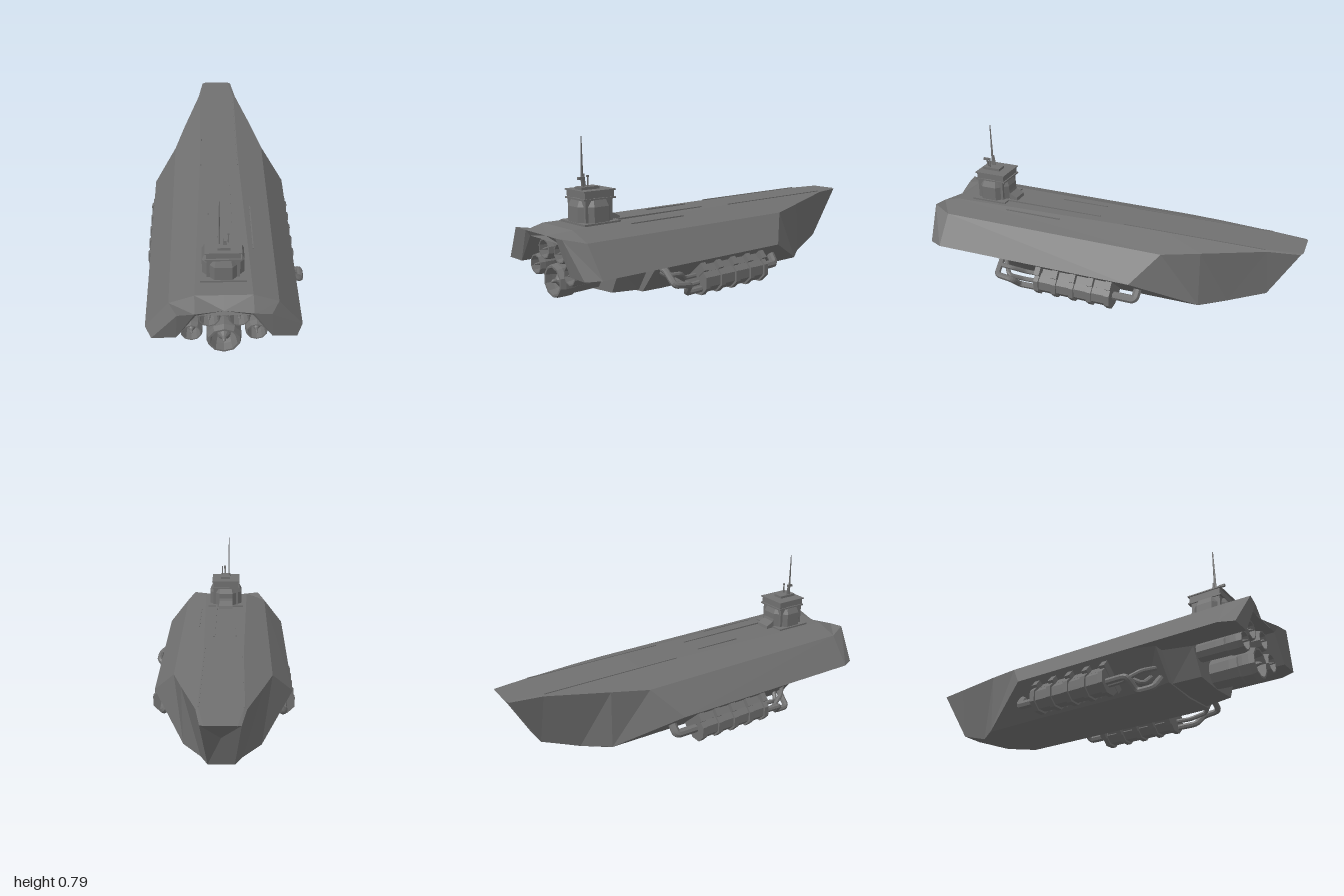
import * as THREE from 'three';

const CX = -0.016; // hull centreline

export function createModel() {
  const root = new THREE.Group();
  root.name = 'ship';
  const grey = new THREE.MeshStandardMaterial({ color: 0x707070, flatShading: true });
  grey.name = 'hull grey';

  const add = (name, geo, x = 0, y = 0, z = 0, rz = 0) => {
    const m = new THREE.Mesh(geo, grey);
    m.name = name;
    m.position.set(x, y, z);
    m.rotation.z = rz;
    root.add(m);
    return m;
  };
  const box = (name, w, h, d, x, y, z, rz) => add(name, new THREE.BoxGeometry(w, h, d), x, y, z, rz);

  // Symmetric skin: polygons of the left half, mirrored to the right
  const skin = (name, polygons) => {
    const pos = [];
    for (const p of polygons) {
      for (let i = 1; i < p.length - 1; i++) {
        pos.push(...p[0], ...p[i], ...p[i + 1]);
        for (const [x, y, z] of [p[0], p[i + 1], p[i]]) pos.push(-x, y, z);
      }
    }
    const g = new THREE.BufferGeometry();
    g.setAttribute('position', new THREE.Float32BufferAttribute(pos, 3));
    g.computeVertexNormals();
    add(name, g, CX);
  };
  // Strips between half sections listed from stern to bow
  const loft = rings => rings.slice(1).flatMap((b, i) => {
    const a = rings[i];
    return b.slice(1).map((c, j) => [a[j], a[j + 1], c, b[j]]);
  });

  // Upper hull: deck edge, shoulder and chine of each section
  const upper = [
    [[.13, .368, .99], [.205, .373, 1], [.325, .205, .97]],
    [[.13, .392, .9], [.245, .35, .9], [.357, .205, .9]],
    [[.1, .4, -.3], [.245, .345, -.33], [.357, .205, -.2]],
    [[.1, .4, -.52], [.197, .365, -.52], [.19, .06, -.52]],
    [[.1, .4, -.82], [.112, .395, -.83], [.1, .065, -.65]],
    [[.07, .4, -1], [.088, .397, -.99], [.06, .13, -.84]],
  ].map(([edge, ...rest]) => [[0, edge[1], edge[2]], edge, ...rest]);
  upper[0][0] = [0, .357, .96]; // stern notch
  skin('upperHull', loft(upper));

  // Lower hull: z, chine x and y, bilge x and y, keel y
  const lower = [
    [.71, .215, .205, .15, .075, .065],
    [.57, .255, .205, .17, .068, .06],
    [.57, .31, .205, .2, .065, .05],
    [.45, .357, .205, .19, .058, .02],
    [-.2, .357, .205, .19, .058, .02],
    [-.52, .19, .06, .185, .056, .02],
    [-.65, .1, .065, .098, .063, .052],
    [-.84, .06, .13, .058, .13, .13],
  ].map(([z, cx, cy, bx, by, ky]) => [[cx, cy, z], [bx, by, z], [0, ky, z]]);
  skin('lowerHull', loft(lower));

  // Stern overhang with the engine recess, its bulkhead and the stern lip
  const under = [[.97, .325], [.9, .357], [.45, .357]].map(([z, x]) =>
    [[x, .205, z], [.215, .205, z], [.125, .34, z], [0, .34, z]]);
  skin('sternOverhang', loft(under));
  skin('engineBulkhead', [[[0, .34, .71], [0, .065, .71], [.15, .075, .71], [.215, .205, .71], [.125, .34, .71]]]);
  const [centre, edge, shoulder, chine] = upper[0];
  const [, inner, corner, roof] = under[0];
  skin('sternLip', [[centre, roof, corner, edge], [edge, corner, inner, shoulder], [shoulder, inner, chine]]);

  // Hollowed bow face
  const bow = [...upper[upper.length - 1], [0, .13, -.84]];
  skin('bowFace', bow.slice(1).map((p, j) => [bow[j], p, [0, .29, -.895]]));

  // Raised deck strips
  for (const side of [-1, 1]) box('deckEdgeStrip', .006, .006, .74, CX + side * .1, .4, -.45);
  box('deckRailLong', .01, .008, .74, .04, .398, .44);
  box('deckRailRight', .006, .008, .26, -.08, .398, .21);
  box('deckRailLeft', .006, .008, .32, .13, .385, .43);

  // Engines: ten-sided nozzles with a bowl and a centre spike
  const nozzle = [[0, -.03], [.85, -.03], [.9, .1], [.9, .14], [.98, .15], [1, .17], [1, .2], [.9, .225],
    [.78, .225], [.7, .19], [.55, .15], [.42, .15], [.36, .19], [.14, .205], [.1, .222], [0, .235]];
  const engine = (x, y, r) => {
    const g = new THREE.LatheGeometry(nozzle.map(([k, h]) => new THREE.Vector2(k * r, h)), 10);
    add('engine', g.rotateX(Math.PI / 2), CX + x, y, .71);
  };
  engine(0, .14, .083);
  for (const side of [-1, 1]) {
    engine(side * .067, .282, .053);
    engine(side * .147, .195, .053);
  }

  // Control tower
  const octagon = (rTop, rBottom, h) => {
    const k = 1 / Math.cos(Math.PI / 8);
    return new THREE.CylinderGeometry(rTop * k, rBottom * k, h, 8).rotateY(Math.PI / 8);
  };
  const tz = .72;
  box('towerPlinth', .21, .014, .2, CX, .395, tz);
  add('towerBody', octagon(.096, .096, .08), CX, .435, tz);
  add('towerShoulder', octagon(.078, .096, .04), CX, .495, tz);
  box('towerCore', .15, .12, .15, CX, .45, tz);
  box('towerBand', .164, .008, .176, CX, .509, .717);
  box('bridge', .154, .034, .162, CX, .528, .717);
  box('bridgeRoof', .166, .006, .176, CX, .547, .717);
  box('roofBlock', .056, .014, .1, CX + .003, .556, .735);
  const wedge = new THREE.Shape([[-.66, .39], [-.575, .39], [-.58, .41], [-.62, .43], [-.64, .5], [-.66, .5]]
    .map(p => new THREE.Vector2(...p)));
  const fairing = new THREE.ExtrudeGeometry(wedge, { depth: .08, bevelEnabled: false });
  add('towerFairing', fairing.rotateY(Math.PI / 2), CX - .04);

  // Masts
  add('tallMast', new THREE.CylinderGeometry(.0015, .004, .24, 8), -.033, .675, .75).scale.z = 2;
  add('mastFoot', new THREE.CylinderGeometry(.003, .012, .07, 6), -.033, .585, .74).scale.x = .35;
  box('shortMast', .005, .06, .006, .007, .585, .745);
  box('shortMastCap', .008, .008, .01, .007, .613, .745);
  for (const dx of [-.004, .004]) box('sensorArm', .005, .05, .006, -.008 + dx, .582, .765).rotation.x = .25;
  box('sensorHead', .012, .012, .03, -.008, .603, .775);

  // Pipes with rounded corners
  const pipe = (name, r, pts) => {
    const path = new THREE.CurvePath();
    const v = pts.map(p => new THREE.Vector3(...p));
    const toward = (p, q) => p.clone().add(q.clone().sub(p).setLength(.022));
    let from = v[0];
    for (let i = 1; i < v.length - 1; i++) {
      const a = toward(v[i], v[i - 1]), b = toward(v[i], v[i + 1]);
      path.add(new THREE.LineCurve3(from, a));
      path.add(new THREE.QuadraticBezierCurve3(a, v[i], b));
      from = b;
    }
    path.add(new THREE.LineCurve3(from, v[v.length - 1]));
    add(name, new THREE.TubeGeometry(path, 48, r, 8));
  };

  // Side tanks with bands, brackets and a forward elbow
  for (const side of [-1, 1]) {
    const x = CX + side * .312, y = .094;
    add('sideTank', octagon(.056, .056, .42).rotateX(Math.PI / 2), x, y, .11);
    for (let i = 0; i < 5; i++) {
      const z = -.09 + i * .1;
      add('tankBand', octagon(.066, .066, .026).rotateX(Math.PI / 2), x, y, z);
      box('tankBracket', .16, .05, .03, CX + side * .289, .122, z, side * .704);
    }
    box('tankMount', .11, .05, .36, CX + side * .285, .126, .11, side * .704);
    pipe('tankElbow', .022, [[x, y, -.08], [x, y, -.22], [CX + side * .265, .155, -.225]]);
  }

  // Rear plumbing differs from side to side
  pipe('leftOuterPipe', .016, [[.32, .06, .3], [.325, .06, .42], [.378, .115, .44], [.375, .125, .53], [.295, .195, .53]]);
  pipe('leftInnerPipe', .012, [[.28, .12, .3], [.285, .12, .4], [.335, .16, .46], [.335, .165, .53], [.29, .19, .54]]);
  pipe('leftMiddlePipe', .012, [[.305, .09, .3], [.305, .085, .4], [.35, .12, .47], [.27, .17, .53]]);
  pipe('rightOuterPipe', .016, [[-.355, .08, .3], [-.36, .08, .43], [-.3, .02, .45], [-.3, .02, .535], [-.21, .11, .535]]);
  pipe('rightInnerPipe', .012, [[-.32, .1, .3], [-.325, .1, .4], [-.28, .06, .47], [-.22, .12, .5]]);
  pipe('rightMiddlePipe', .012, [[-.335, .07, .3], [-.34, .07, .4], [-.31, .11, .48], [-.26, .13, .53]]);

  return root;
}
